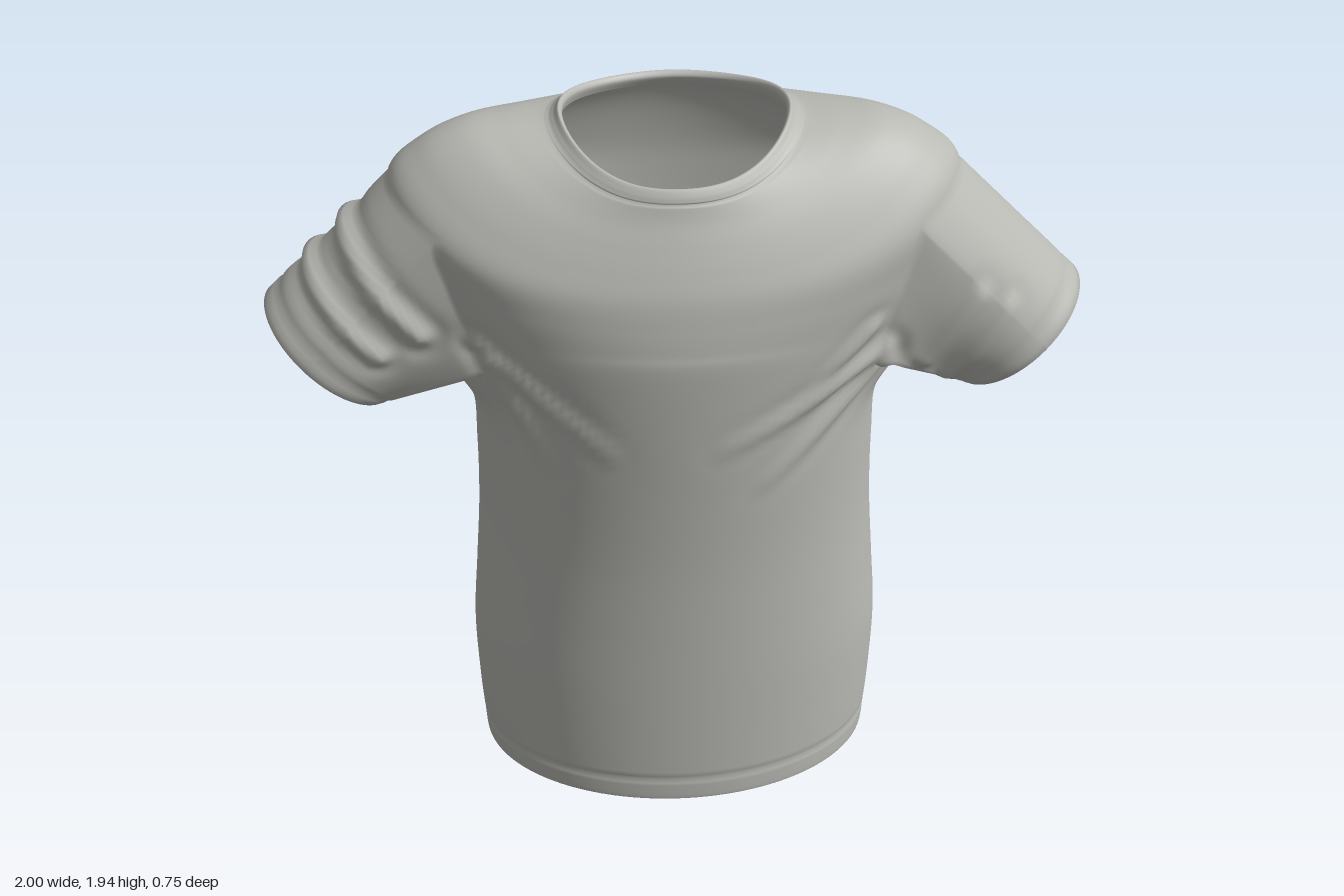
import * as THREE from 'three';

const COLS = 160;      // points around the body
const SUB = 8;         // rows between key sections
const HALF = 15;       // half width of an armhole, in columns
const RINGS = 28;      // rings along a sleeve

// Body sections: side height, half width, front height, front depth, back height, back depth
const level = (y, w, f, b) => [y, w, y, f, y, b];
const KEYS = [
  level(0.04, 0.515, 0.335, 0.346),   // turned-in hem
  level(0.0, 0.516, 0.336, 0.346),
  level(0.0, 0.525, 0.345, 0.355),
  level(0.07, 0.53, 0.345, 0.365),
  level(0.2, 0.537, 0.345, 0.37),
  level(0.4, 0.54, 0.345, 0.345),
  level(0.6, 0.525, 0.345, 0.315),
  level(0.8, 0.51, 0.347, 0.305),
  level(1.0, 0.505, 0.355, 0.305),
  [1.16, 0.51, 1.22, 0.367, 1.22, 0.312],
  [1.265, 0.565, 1.42, 0.375, 1.42, 0.32],   // underarm
  [1.43, 0.605, 1.48, 0.37, 1.48, 0.323],
  [1.61, 0.65, 1.54, 0.362, 1.55, 0.325],
  [1.77, 0.68, 1.61, 0.348, 1.63, 0.325],    // top of armhole
  [1.855, 0.6, 1.67, 0.325, 1.7, 0.318],
  [1.9, 0.5, 1.73, 0.297, 1.77, 0.305],
  [1.91, 0.4, 1.78, 0.272, 1.825, 0.287],
  [1.912, 0.31, 1.82, 0.257, 1.865, 0.264],  // collar seam
  [1.922, 0.285, 1.838, 0.25, 1.885, 0.257],
  [1.937, 0.271, 1.852, 0.238, 1.895, 0.247],
  [1.925, 0.262, 1.84, 0.228, 1.883, 0.236], // turned-in collar
  [1.9, 0.268, 1.812, 0.238, 1.86, 0.246],
];
const ROWS = (KEYS.length - 1) * SUB;
const HEM_SEAM = 3 * SUB, ARM_LOW = 10 * SUB, ARM_TOP = 13 * SUB, COLLAR_SEAM = 17 * SUB;

// Cloth folds: x0, y0, x1, y1, side (1 front, -1 back, 0 both), height, width
const FOLDS = [
  [0.5, 1.37, 0.1, 1.19, 1, 0.014, 0.022],
  [0.5, 1.33, 0.2, 1.06, 1, 0.013, 0.022],
  [0.46, 1.46, 0.3, 1.3, 1, 0.009, 0.02],
  [-0.48, 1.43, -0.17, 1.17, 1, 0.013, 0.022],
  [-0.46, 1.38, -0.32, 1.1, 1, 0.011, 0.02],
  [0.48, 1.4, 0.15, 1.2, -1, 0.013, 0.022],
  [0.47, 1.35, 0.25, 1.08, -1, 0.012, 0.022],
  [-0.48, 1.4, -0.18, 1.2, -1, 0.013, 0.022],
  [-0.47, 1.33, -0.3, 1.06, -1, 0.011, 0.022],
  [-0.2, 0.95, -0.17, 0.45, -1, 0.01, 0.03],
  [0.0, 1.0, 0.03, 0.5, -1, 0.008, 0.03],
  [0.2, 0.95, 0.22, 0.4, -1, 0.01, 0.03],
  [-0.89, 1.56, -0.72, 1.38, 0, 0.014, 0.022],
  [-0.8, 1.66, -0.62, 1.44, 0, 0.016, 0.026],
  [0.72, 1.5, 0.6, 1.31, 0, 0.01, 0.022],
  [0.8, 1.46, 0.67, 1.25, 0, 0.008, 0.02],
];

function spline(a, b, c, d, t) {
  return 0.5 * (2 * b + (c - a) * t + (2 * a - 5 * b + 4 * c - d) * t * t
    + (3 * b - a - 3 * c + d) * t * t * t);
}

function section(row) {
  const i = Math.min(Math.floor(row / SUB), KEYS.length - 2);
  const key = (n) => KEYS[Math.max(0, Math.min(KEYS.length - 1, n))];
  const s = KEYS[0].map((_, n) =>
    spline(key(i - 1)[n], key(i)[n], key(i + 1)[n], key(i + 2)[n], row / SUB - i));
  // stitched grooves
  if (row === HEM_SEAM || row === COLLAR_SEAM) for (const n of [1, 3, 5]) s[n] -= 0.005;
  return s;
}

function foldHeight(x, y, z) {
  let h = 0;
  for (const [x0, y0, x1, y1, side, height, width] of FOLDS) {
    if (side * z < 0) continue;
    const dx = x1 - x0, dy = y1 - y0;
    const t = Math.max(0, Math.min(1, ((x - x0) * dx + (y - y0) * dy) / (dx * dx + dy * dy)));
    const d = Math.hypot(x - x0 - t * dx, y - y0 - t * dy) / width;
    const fade = side === 0 ? 1 : Math.min(1, Math.abs(z) / 0.15) * (1 - 0.8 * t * t);
    h += height * fade * (Math.exp(-d * d) - 0.4 * Math.exp(-(d - 1.8) * (d - 1.8)));
  }
  return h;
}

export function createModel() {
  const fabric = new THREE.MeshStandardMaterial({ color: 0xb9b9b4, side: THREE.DoubleSide });
  fabric.name = 'grey fabric';
  const points = [];
  const parts = { hem: [], body: [], collar: [], leftSleeve: [], rightSleeve: [] };
  const add = (x, y, z) => points.push(x, y, z) / 3 - 1;
  const quad = (list, a, b, up, upB) => list.push(a, up, b, b, up, upB);
  const at = (r, c) => r * COLS + ((c + COLS) % COLS);

  // Body rings from hem to neck
  for (let r = 0; r <= ROWS; r++) {
    const [ys, w, yf, zf, yb, zb] = section(r);
    for (let c = 0; c < COLS; c++) {
      const a = (c / COLS) * Math.PI * 2, cos = Math.cos(a), sin = Math.sin(a);
      const mid = sin > 0 ? yf : yb;
      const y = mid + (ys - mid) * Math.abs(cos) ** 3;
      add(w * cos, Math.max(0, y), (sin > 0 ? zf : zb) * sin);
    }
  }
  for (let r = 0; r < ROWS; r++) {
    const list = r < HEM_SEAM ? parts.hem : r < COLLAR_SEAM ? parts.body : parts.collar;
    for (let c = 0; c < COLS; c++) {
      const fromSide = Math.abs(((c + 0.5 + COLS / 4) % (COLS / 2)) - COLS / 4);
      if (r >= ARM_LOW && r < ARM_TOP && fromSide < HALF) continue; // armholes
      quad(list, at(r, c), at(r, c + 1), at(r + 1, c), at(r + 1, c + 1));
    }
  }

  // Sleeves grow from the armhole edge to a round cuff
  for (const side of [1, -1]) {
    const list = side > 0 ? parts.leftSleeve : parts.rightSleeve;
    const mid = side > 0 ? 0 : COLS / 2;
    const edge = [];
    for (let c = -HALF; c < HALF; c++) edge.push(at(ARM_LOW, mid + c));
    for (let r = ARM_LOW; r < ARM_TOP; r++) edge.push(at(r, mid + HALF));
    for (let c = HALF; c > -HALF; c--) edge.push(at(ARM_TOP, mid + c));
    for (let r = ARM_TOP; r > ARM_LOW; r--) edge.push(at(r, mid - HALF));

    const ux = 0.732 * side, uy = 0.682;              // across the cuff
    const cx = 0.855 * side, cy = 1.295, cz = -0.005; // cuff centre
    const start = edge.map((i) => points.slice(i * 3, i * 3 + 3));
    const angles = start.map(([x, y, z]) =>
      Math.atan2(z - cz, (x - cx) * ux + (y - cy) * uy));
    const rings = [];
    for (let j = 1; j <= RINGS; j++) rings.push([j / RINGS, j === RINGS - 3 ? 0.195 : 0.2]);
    rings.push([1, 0.189], [0.85, 0.187]);            // turned-in cuff
    let last = edge;
    for (const [t, radius] of rings) {
      const ring = start.map(([x, y, z], i) => {
        const across = Math.cos(angles[i]) * radius;
        return add(
          x + (cx + ux * across - x) * t,
          y + (cy + uy * across - y) * t,
          z + (cz + Math.sin(angles[i]) * radius * 0.98 - z) * t);
      });
      ring.forEach((p, i) => {
        const n = (i + 1) % ring.length;
        quad(list, last[i], last[n], p, ring[n]);
      });
      last = ring;
    }
  }

  // Push folds out along the surface, then smooth across all parts
  const whole = new THREE.BufferGeometry();
  const position = new THREE.Float32BufferAttribute(points, 3);
  whole.setAttribute('position', position);
  whole.setIndex(Object.values(parts).flat());
  whole.computeVertexNormals();
  const normal = whole.attributes.normal;
  for (let i = 0; i < position.count; i++) {
    const x = position.getX(i), y = position.getY(i), z = position.getZ(i);
    const h = foldHeight(x, y, z);
    position.setXYZ(i, x + normal.getX(i) * h, y + normal.getY(i) * h, z + normal.getZ(i) * h);
  }
  whole.computeVertexNormals();

  const shirt = new THREE.Group();
  shirt.name = 'shirt';
  for (const [name, index] of Object.entries(parts)) {
    whole.setIndex(index);
    const mesh = new THREE.Mesh(whole.toNonIndexed(), fabric);
    mesh.name = name;
    shirt.add(mesh);
  }
  return shirt;
}
